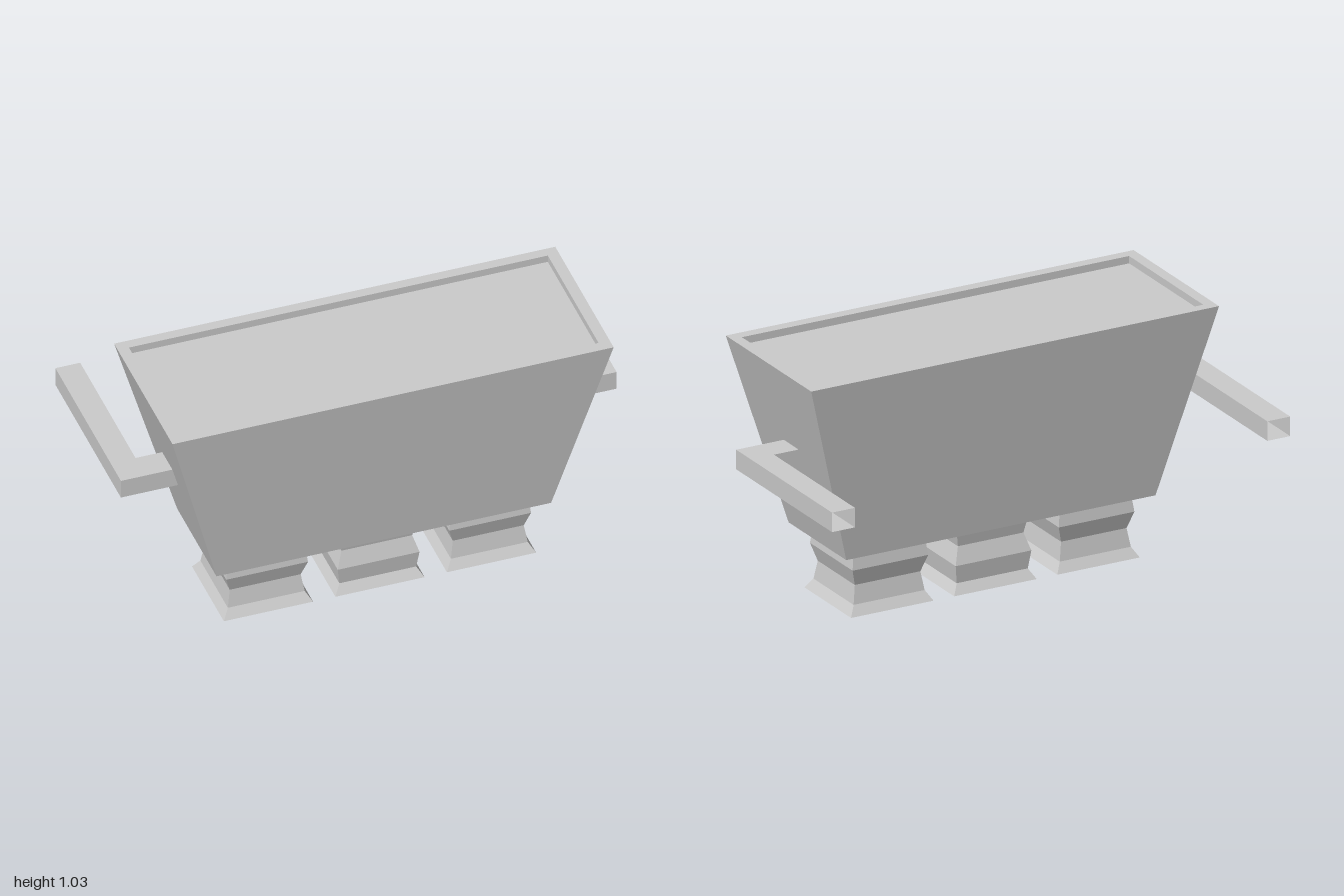
import * as THREE from 'three';

const DEPTH_CENTRE = 0.177;

// Skins a list of four-cornered rings, optionally closing both ends
function loft(rings, capped) {
  const pos = [];
  const quad = (a, b, c, d) => [a, b, c, a, c, d].forEach((p) => pos.push(...p));
  for (let i = 0; i < rings.length - 1; i++) {
    for (let j = 0; j < 4; j++) {
      const k = (j + 1) % 4;
      quad(rings[i][j], rings[i][k], rings[i + 1][k], rings[i + 1][j]);
    }
  }
  if (capped) {
    const [a, b, c, d] = rings[0];
    quad(d, c, b, a);
    quad(...rings[rings.length - 1]);
  }
  const geo = new THREE.BufferGeometry();
  geo.setAttribute('position', new THREE.Float32BufferAttribute(pos, 3));
  geo.computeVertexNormals();
  return geo;
}

// Horizontal rectangle at height y
const rect = (y, hx, z0, z1) => [[-hx, y, z1], [hx, y, z1], [hx, y, z0], [-hx, y, z0]];

export function createModel() {
  const group = new THREE.Group();
  const solid = new THREE.MeshStandardMaterial({ color: 0xcccccc, flatShading: true });
  const open = new THREE.MeshStandardMaterial({ color: 0xcccccc, flatShading: true, side: THREE.DoubleSide });

  const add = (name, geo, mat) => {
    const mesh = new THREE.Mesh(geo, mat);
    mesh.name = name;
    group.add(mesh);
    return mesh;
  };

  // Tapered bin with a rim and a shallow recessed top
  add('body', loft([
    rect(0.26, 0.675, -0.045, 0.4),
    rect(1.03, 0.89, -0.155, 0.505),
    rect(1.03, 0.845, -0.113, 0.46),
    rect(1.0, 0.845, -0.113, 0.46),
  ], true), solid);

  // Pleated square feet: [height, half width]; the middle one pleats the opposite way
  const outer = [[0, 0.18], [0.04, 0.155], [0.115, 0.143], [0.185, 0.165], [0.26, 0.155]];
  const middle = [[0, 0.18], [0.04, 0.155], [0.115, 0.165], [0.185, 0.143], [0.26, 0.157]];
  [['rightFoot', -0.45, outer], ['middleFoot', 0, middle], ['leftFoot', 0.45, outer]].forEach(([name, x, profile]) => {
    const rings = profile.map(([y, h]) => rect(y, h, DEPTH_CENTRE - h, DEPTH_CENTRE + h));
    add(name, loft(rings, true), solid).position.x = x;
  });

  // Open-ended square arms: short stub out of the body, mitred corner, long bar to the back
  const section = (xo, zo, xi, zi) => [[xo, 0.6, zo], [xi, 0.6, zi], [xi, 0.68, zi], [xo, 0.68, zo]];
  const armGeo = loft([
    section(0.75, 0.23, 0.75, 0.115),
    section(1, 0.23, 0.9, 0.115),
    section(1, -0.51, 0.9, -0.51),
  ], false);
  add('leftArm', armGeo, open);
  add('rightArm', armGeo, open).scale.x = -1;

  return group;
}
